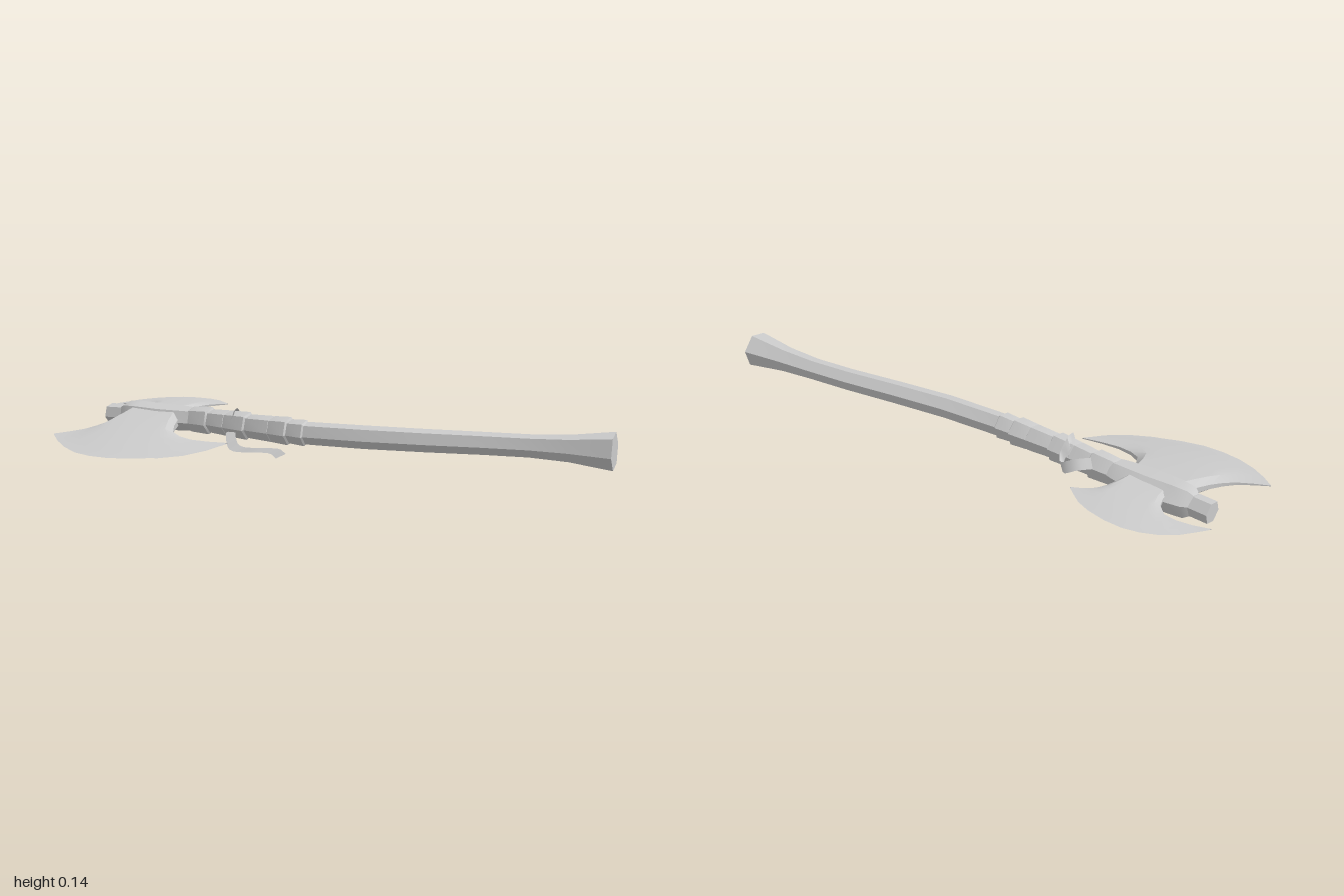
import * as THREE from 'three';
import { toCreasedNormals } from 'three/addons/utils/BufferGeometryUtils.js';

const V = (x, y, z) => new THREE.Vector3(x, y, z);
const grey = new THREE.MeshStandardMaterial({ color: 0xcccccc });
const greyThin = new THREE.MeshStandardMaterial({ color: 0xcccccc, side: THREE.DoubleSide });

// Closed skin over a row of rings, with both ends capped and faces turned outward
function loft(name, rings, crease = 0.6) {
  const n = rings[0].length, tris = [];
  const centre = (r) => r.reduce((s, p) => s.add(p), V(0, 0, 0)).divideScalar(n);
  const first = centre(rings[0]), last = centre(rings[rings.length - 1]);
  for (let j = 0; j < n; j++) {
    const k = (j + 1) % n;
    for (let i = 0; i + 1 < rings.length; i++) {
      const [a, b, c, d] = [rings[i][j], rings[i][k], rings[i + 1][k], rings[i + 1][j]];
      tris.push([a, b, c], [a, c, d]);
    }
    tris.push([rings[0][k], rings[0][j], first]);
    tris.push([rings[rings.length - 1][j], rings[rings.length - 1][k], last]);
  }
  const volume = tris.reduce((s, [a, b, c]) => s + a.clone().sub(first).dot(b.clone().sub(first).cross(c.clone().sub(first))), 0);
  if (volume < 0) tris.forEach((t) => t.reverse());
  const g = new THREE.BufferGeometry().setFromPoints(tris.flat());
  const mesh = new THREE.Mesh(toCreasedNormals(g, crease), grey);
  mesh.name = name;
  return mesh;
}

// Centre line of the shaft, head to butt: x, y, z, radius
const line = [
  [-0.92, 0.082, 0.145, 0.04], [-0.7, 0.085, 0.09, 0.04], [-0.5, 0.085, 0.035, 0.038],
  [-0.3, 0.078, 0.0, 0.04], [-0.07, 0.07, -0.055, 0.042], [0.15, 0.069, -0.133, 0.043],
  [0.35, 0.068, -0.222, 0.042], [0.54, 0.068, -0.312, 0.041], [0.69, 0.068, -0.375, 0.041],
  [0.82, 0.068, -0.422, 0.048], [0.966, 0.068, -0.472, 0.068],
];
function at(x) {
  let i = 0;
  while (i < line.length - 2 && x > line[i + 1][0]) i++;
  const t = (x - line[i][0]) / (line[i + 1][0] - line[i][0]);
  return line[i].map((v, k) => THREE.MathUtils.lerp(v, line[i + 1][k], t));
}

// Six-sided ring square to the shaft; optional side and height radii
function hexRing(x, rSide, rUp = rSide, shift = 0) {
  const [, y, z, r] = at(x), a = at(x - 0.03), b = at(x + 0.03);
  const t = V(b[0] - a[0], 0, b[2] - a[2]).normalize();
  return Array.from({ length: 6 }, (_, k) => {
    const ang = THREE.MathUtils.degToRad(60 * k + 13);
    const s = Math.cos(ang) * (rSide ?? r) + shift, u = Math.sin(ang) * (rUp ?? r);
    return V(x + t.z * s, y + u, z - t.x * s);
  });
}

// Blade: rows run from root to cutting edge between two curved sides
function blade(name, left, right, edge, height, thick) {
  const curve = (pts) => new THREE.CatmullRomCurve3(pts.map(([x, z]) => V(x, 0, z)));
  const L = curve(left), R = curve(right), E = curve(edge), rows = 6, cols = 10;
  const rings = [];
  for (let i = 0; i <= rows; i++) {
    const v = i / rows, top = [], bottom = [];
    for (let j = 0; j <= cols; j++) {
      const u = j / cols;
      const bow = E.getPoint(u).sub(L.getPoint(1).lerp(R.getPoint(1), u));
      const p = L.getPoint(v).lerp(R.getPoint(v), u).addScaledVector(bow, v);
      const side = j === 0 || j === cols ? 0.3 : 1;
      const h = 0.0015 + thick * side * (1 - v);
      p.y = height(p.x, p.z);
      top.push(V(p.x, p.y + h, p.z));
      bottom.unshift(V(p.x, Math.max(0.001, p.y - h), p.z));
    }
    rings.push([...top, ...bottom]);
  }
  return loft(name, rings, 0.5);
}

// Flat strip following a path, spread along a fixed direction
function ribbon(name, pts, spread) {
  const path = new THREE.CatmullRomCurve3(pts.map((p) => V(...p))), n = 14, strip = [];
  for (let i = 0; i < n; i++) {
    const [a, b] = [path.getPoint(i / n), path.getPoint((i + 1) / n)];
    const q = [a.clone().add(spread), a.clone().sub(spread), b.clone().sub(spread), b.clone().add(spread)];
    strip.push(q[0], q[1], q[2], q[0], q[2], q[3]);
  }
  const g = toCreasedNormals(new THREE.BufferGeometry().setFromPoints(strip), 0.6);
  const mesh = new THREE.Mesh(g, greyThin);
  mesh.name = name;
  return mesh;
}

export function createModel() {
  const axe = new THREE.Group();
  axe.name = 'axe';

  // Six-sided shaft flaring at the butt, poking out past the head
  axe.add(loft('shaft', line.map(([x]) => hexRing(x))));

  // Swollen socket holding the blades
  const socket = [[-0.855, 0.036, 0.042, 0], [-0.835, 0.056, 0.055, 0], [-0.78, 0.068, 0.056, 0],
    [-0.68, 0.074, 0.05, 0], [-0.58, 0.058, 0.047, 0], [-0.535, 0.045, 0.044, 0]];
  axe.add(loft('headSocket', socket.map((s) => hexRing(...s)), 0.7));

  // Overlapping bands wound around the grip
  const wrap = new THREE.Group();
  wrap.name = 'gripWrap';
  const joints = [-0.55, -0.47, -0.39, -0.3, -0.2, -0.13, -0.065];
  for (let i = 0; i + 1 < joints.length; i++) {
    const big = i % 2 ? 0.049 : 0.053;
    wrap.add(loft('wrapBand', [hexRing(joints[i] - 0.008, big - 0.007), hexRing(joints[i], big - 0.004),
      hexRing(joints[i + 1] - 0.005, big), hexRing(joints[i + 1], big - 0.008)]));
  }
  axe.add(wrap);

  // Large front blade, drooping to the ground
  axe.add(blade('mainBlade',
    [[-0.8, 0.13], [-0.797, 0.26], [-0.82, 0.36], [-0.89, 0.455]],
    [[-0.58, 0.1], [-0.505, 0.2], [-0.4, 0.21], [-0.27, 0.15]],
    [[-0.89, 0.455], [-0.8, 0.5], [-0.69, 0.527], [-0.585, 0.52], [-0.48, 0.47], [-0.37, 0.385], [-0.3, 0.28], [-0.27, 0.15]],
    (x, z) => 0.072 - 0.187 * (z - 0.18) - 0.1 * (x + 0.69), 0.036));

  // Smaller back blade, rising slightly
  axe.add(blade('backBlade',
    [[-0.78, 0.09], [-0.8, 0.03], [-0.86, -0.012], [-0.93, 0.008], [-1, 0.06]],
    [[-0.62, 0.06], [-0.63, -0.05], [-0.615, -0.11], [-0.57, -0.16]],
    [[-1, 0.06], [-0.95, -0.08], [-0.84, -0.175], [-0.675, -0.198], [-0.57, -0.16]],
    (x, z) => 0.1 + 0.08 * (0.06 - z), 0.02));

  // Loose strap: a loop behind the grip and a tail trailing in front
  axe.add(ribbon('strapLoop', [[-0.5, 0.11, 0.0], [-0.46, 0.1, -0.045], [-0.415, 0.075, -0.065],
    [-0.385, 0.09, -0.04], [-0.375, 0.13, 0.0], [-0.34, 0.11, 0.055]], V(0.016, 0.012, 0.006)));
  axe.add(ribbon('strapTail', [[-0.36, 0.06, 0.04], [-0.31, 0.03, 0.088], [-0.25, 0.014, 0.122],
    [-0.18, 0.012, 0.09], [-0.11, 0.016, 0.075], [-0.045, 0.009, 0.108]], V(0.012, 0.008, -0.013)));

  return axe;
}
